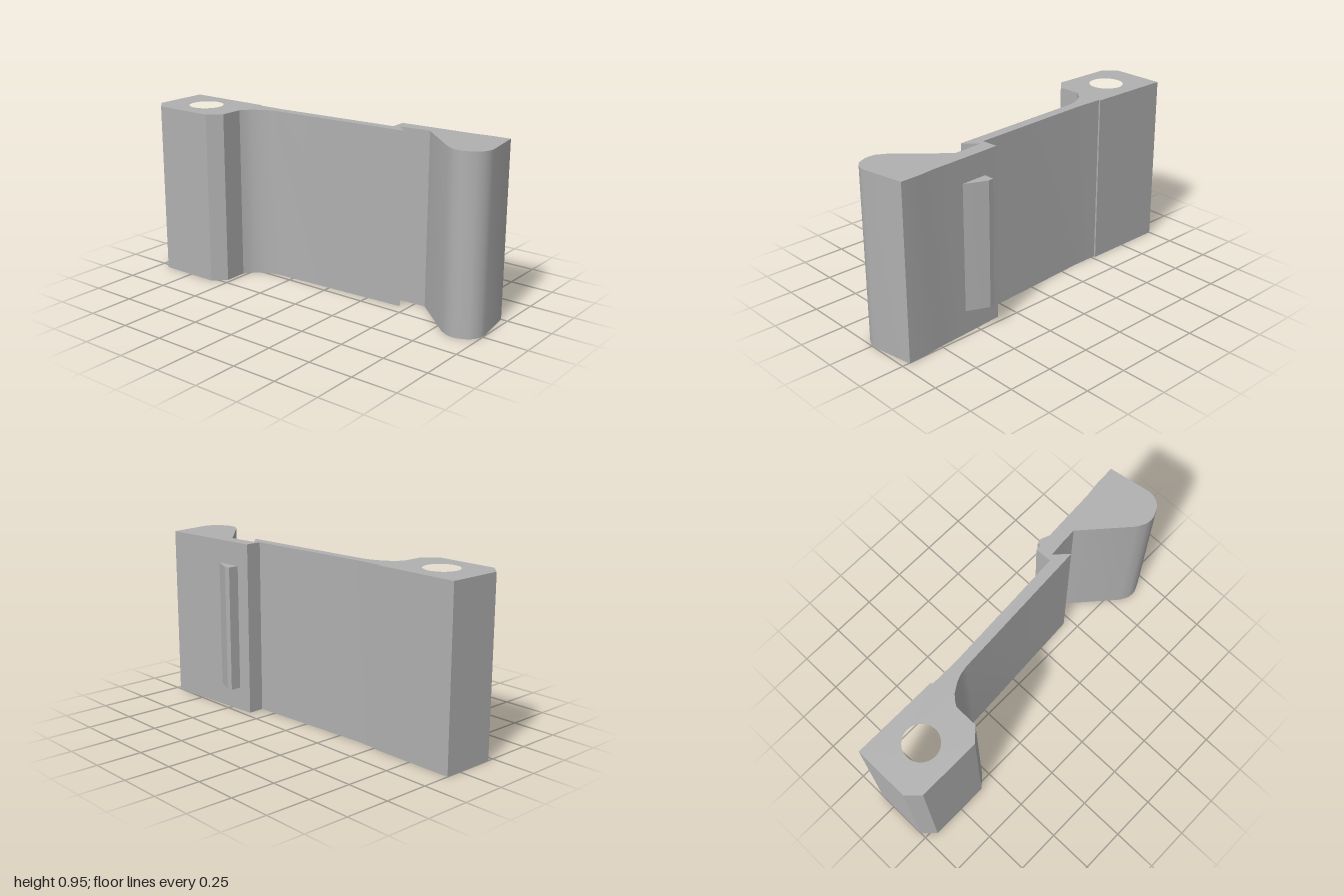
import * as THREE from 'three';
import { toCreasedNormals } from 'three/addons/utils/BufferGeometryUtils.js';

const HEIGHT = 0.955;

// Plan outline given as [x, z] points, extruded upwards from y0 to y1
function prism(name, points, y0, y1, material, hole) {
  const shape = new THREE.Shape(points.map(([x, z]) => new THREE.Vector2(x, -z)));
  if (hole) {
    shape.holes.push(new THREE.Path().absarc(hole.x, -hole.z, hole.r, 0, Math.PI * 2, true));
  }
  const extruded = new THREE.ExtrudeGeometry(shape, {
    depth: y1 - y0, bevelEnabled: false, curveSegments: 24,
  });
  extruded.rotateX(-Math.PI / 2).translate(0, y0, 0);
  const mesh = new THREE.Mesh(toCreasedNormals(extruded, Math.PI / 6), material);
  mesh.name = name;
  return mesh;
}

export function createModel() {
  const grey = new THREE.MeshStandardMaterial({ color: 0xb0b0b0 });
  grey.name = 'grey plastic';

  const outline = [
    // back of the hinge block and arm
    [-1, -0.09], [-0.52, -0.09], [-0.52, -0.08], [-0.36, -0.08], [0.355, -0.122],
    // back of the latch head
    [0.35, -0.213], [0.58, -0.228], [0.76, -0.238], [0.85, -0.25], [0.96, -0.255],
    // rounded finger grip
    [0.998, -0.02], [0.995, 0.01], [0.982, 0.04], [0.96, 0.067], [0.91, 0.09],
    [0.885, 0.095], [0.85, 0.092], [0.80, 0.065],
    // front of the latch head and undercut notch
    [0.56, -0.15], [0.5, -0.148], [0.385, -0.138], [0.455, -0.07],
    // front of the arm and fillet into the hinge block
    [-0.345, -0.025], [-0.39, -0.016], [-0.43, 0.0], [-0.48, 0.032], [-0.505, 0.06], [-0.522, 0.087],
    // chamfered hinge block
    [-0.522, 0.215], [-0.59, 0.28], [-0.935, 0.28], [-1, 0.215],
  ];
  // raised catch on the back of the latch head, sunk slightly into it
  const catchOutline = [
    [0.43, -0.2], [0.43, -0.277], [0.46, -0.281], [0.515, -0.258], [0.58, -0.228], [0.58, -0.2],
  ];

  const model = new THREE.Group();
  model.name = 'latchLever';
  model.add(
    prism('leverBody', outline, 0, HEIGHT, grey, { x: -0.765, z: 0.093, r: 0.095 }),
    prism('catchRidge', catchOutline, 0.13, 0.825, grey),
  );
  return model;
}
